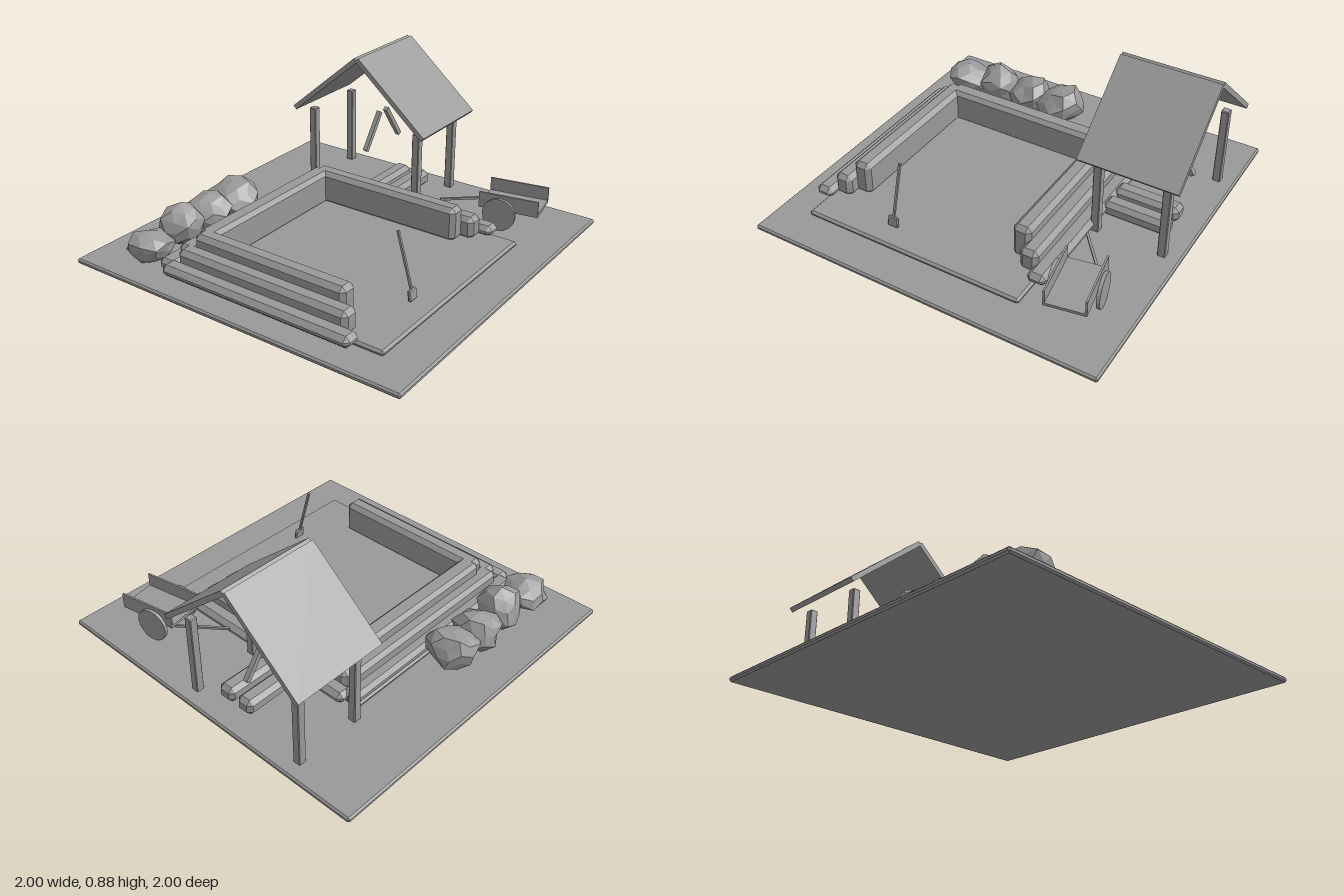
import * as THREE from 'three';
import { ConvexGeometry } from 'three/addons/geometries/ConvexGeometry.js';

const grey = new THREE.MeshStandardMaterial({ color: 0x999999, flatShading: true });
grey.name = 'plain grey';

function add(parent, name, geometry, x = 0, y = 0, z = 0) {
  const mesh = new THREE.Mesh(geometry, grey);
  mesh.name = name;
  mesh.position.set(x, y, z);
  parent.add(mesh);
  return mesh;
}

// Box with every edge cut at 45 degrees
function chamferBox(w, h, d, c) {
  const pts = [];
  for (const sx of [-1, 1]) for (const sy of [-1, 1]) for (const sz of [-1, 1]) {
    const x = w / 2, y = h / 2, z = d / 2;
    pts.push(
      new THREE.Vector3(sx * x, sy * (y - c), sz * (z - c)),
      new THREE.Vector3(sx * (x - c), sy * y, sz * (z - c)),
      new THREE.Vector3(sx * (x - c), sy * (y - c), sz * z));
  }
  return new ConvexGeometry(pts);
}

// Chamfered block given by its extents
function block(parent, name, x0, x1, y0, y1, z0, z1, c) {
  return add(parent, name, chamferBox(x1 - x0, y1 - y0, z1 - z0, c),
    (x0 + x1) / 2, (y0 + y1) / 2, (z0 + z1) / 2);
}

// Square bar between two points
function bar(parent, name, from, to, t) {
  const a = new THREE.Vector3(...from), b = new THREE.Vector3(...to);
  const mesh = add(parent, name, new THREE.BoxGeometry(t, t, a.distanceTo(b)));
  mesh.position.copy(a).add(b).multiplyScalar(0.5);
  mesh.lookAt(b);
  return mesh;
}

// Faceted boulder with a repeatable uneven surface
function boulder(r, h, seed) {
  const g = new THREE.IcosahedronGeometry(1, 1);
  const p = g.attributes.position;
  const v = new THREE.Vector3();
  for (let i = 0; i < p.count; i++) {
    v.fromBufferAttribute(p, i);
    const n = Math.sin(Math.round(v.x * 100) * 1.27 + Math.round(v.y * 100) * 3.11
      + Math.round(v.z * 100) * 7.47 + seed * 5.3);
    v.multiplyScalar(0.95 + 0.13 * n);
    p.setXYZ(i, v.x * r, v.y * h, v.z * r);
  }
  g.computeVertexNormals();
  return g;
}

export function createModel() {
  const model = new THREE.Group();
  model.name = 'excavation site';

  // Ground and pit floor
  block(model, 'ground', -1, 1, 0, 0.03, -1, 1, 0.009);
  block(model, 'pitFloor', -0.815, 0.465, 0.025, 0.056, -0.57, 0.79, 0.012);

  // Three stepped tiers of wall on the left, right and back
  const walls = new THREE.Group();
  walls.name = 'steppedWalls';
  model.add(walls);
  for (let i = 0; i < 3; i++) {
    const top = 0.103 + i * 0.066;
    const s = i * 0.08;
    const back = -0.505 + i * 0.043, front = 0.65 - i * 0.068;
    block(walls, 'rightWallTier', -0.89 + s, -0.785 + s, 0.04, top, back, front, 0.025);
    block(walls, 'leftWallTier', 0.42 - s, 0.525 - s, 0.04, top, back, front, 0.025);
    block(walls, 'backWallTier', -0.84 + s, 0.475 - s, 0.04, top,
      -0.565 + i * 0.065, -0.46 + i * 0.067, 0.022);
  }

  // Boulders behind the pit: x, z, radius, centre height, half height
  const rocks = [
    [-0.775, -0.68, 0.135, 0.11, 0.085],
    [-0.545, -0.675, 0.132, 0.14, 0.12],
    [-0.33, -0.69, 0.135, 0.13, 0.105],
    [-0.125, -0.685, 0.142, 0.135, 0.11]];
  rocks.forEach(([x, z, r, y, h], i) => add(model, 'boulder', boulder(r, h, i + 1), x, y, z));

  // Open shelter: posts, braces and gable roof
  const shelter = new THREE.Group();
  shelter.name = 'shelter';
  model.add(shelter);
  const mid = 0.715, ridge = -0.245;
  for (const sx of [-1, 1]) {
    for (const sz of [-1, 1]) {
      add(shelter, 'post', chamferBox(0.044, 0.46, 0.044, 0.004),
        mid + sx * 0.188, 0.26, ridge + sz * 0.358);
    }
    const brace = add(shelter, 'brace', new THREE.BoxGeometry(0.026, 0.245, 0.026),
      mid + sx * 0.103, 0.393, ridge);
    brace.rotation.z = sx * 0.61;
  }
  for (const s of [-1, 1]) {
    const panel = add(shelter, 'roofPanel', new THREE.BoxGeometry(0.545, 0.028, 0.575),
      mid, 0.684, ridge + s * 0.221);
    panel.rotation.x = s * 0.708;
  }

  // Two beams lying under the shelter
  for (const z of [-0.053, -0.183]) {
    block(model, 'storedBeam', 0.5, 0.87, 0.03, 0.118, z - 0.051, z + 0.051, 0.024);
  }

  // Two-wheeled cart
  const cart = new THREE.Group();
  cart.name = 'cart';
  cart.position.set(0.695, 0, 0.643);
  cart.rotation.y = 0.18;
  model.add(cart);
  add(cart, 'cartFloor', new THREE.BoxGeometry(0.215, 0.016, 0.332), 0, 0.148, 0);
  add(cart, 'axle', new THREE.BoxGeometry(0.24, 0.018, 0.018), 0, 0.125, -0.04);
  for (const s of [-1, 1]) {
    add(cart, 'sideBoard', new THREE.BoxGeometry(0.01, 0.085, 0.332), s * 0.103, 0.188, 0);
    const wheel = add(cart, 'wheel', new THREE.CylinderGeometry(0.093, 0.093, 0.018, 16),
      s * 0.122, 0.123, -0.045);
    wheel.rotation.z = Math.PI / 2;
  }
  bar(cart, 'pullPole', [0, 0.138, -0.12], [0, 0.107, -0.42], 0.013);

  // Shovel standing in the pit
  const shovel = new THREE.Group();
  shovel.name = 'shovel';
  model.add(shovel);
  bar(shovel, 'shovelHandle', [-0.363, 0.1, 0.652], [-0.363, 0.4, 0.567], 0.012);
  const blade = block(shovel, 'shovelBlade', -0.395, -0.331, 0.055, 0.115, 0.646, 0.664, 0.006);
  blade.rotation.x = -0.15;

  return model;
}
